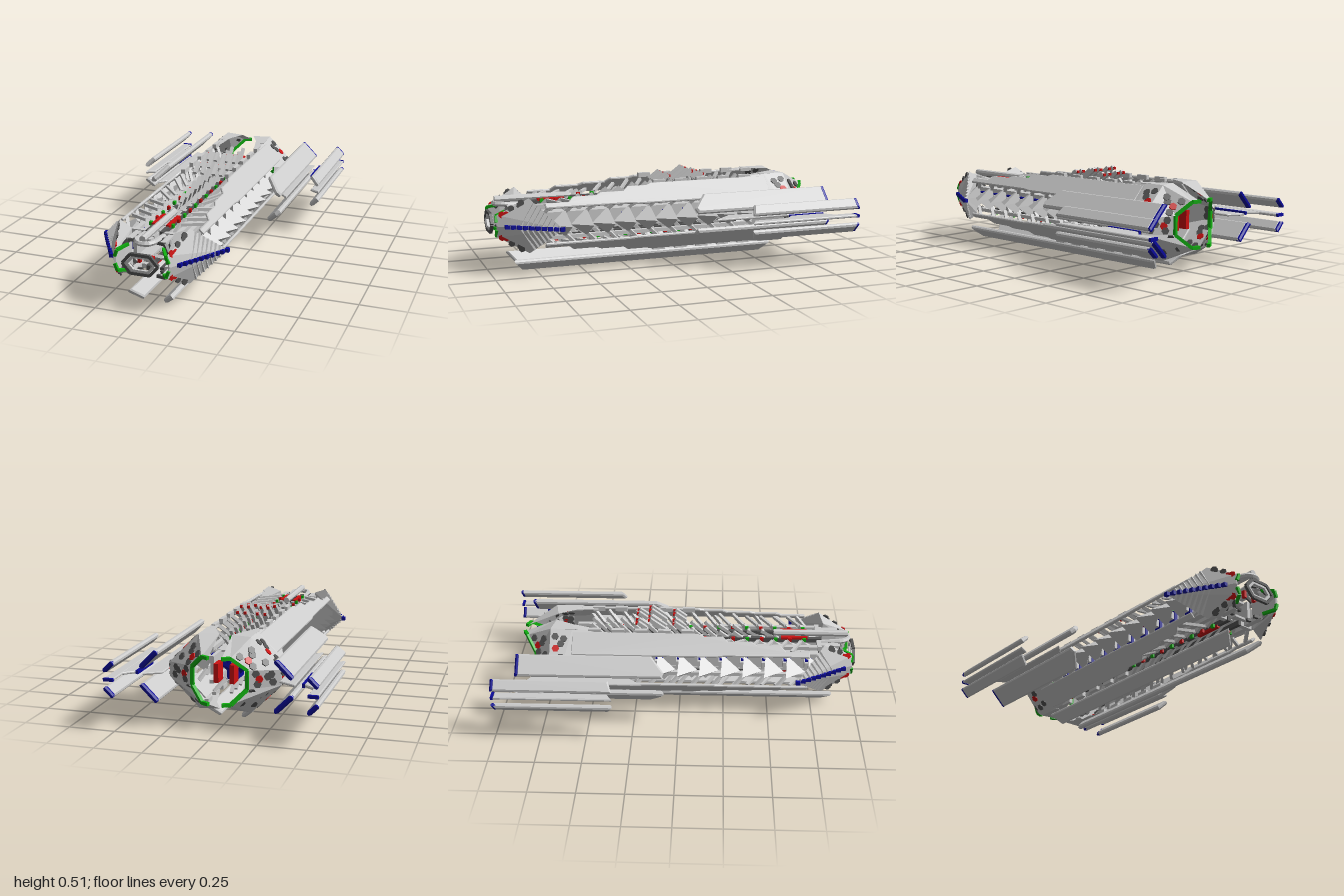
import * as THREE from 'three';
import { ConvexGeometry } from 'three/addons/geometries/ConvexGeometry.js';

const MID = 0.27; // height of the horizontal symmetry plane
const V = (x, y, z) => new THREE.Vector3(x, y, z);
const mat = (color) => new THREE.MeshStandardMaterial({ color, flatShading: true, side: THREE.DoubleSide });
const GREY = mat(0xcccccc), DARK = mat(0x555555), BLUE = mat(0x0b0b99), RED = mat(0xcc1111), GREEN = mat(0x10b010);

export function createModel() {
  const root = new THREE.Group();
  root.name = 'spaceship';
  const add = (name, geo, m = GREY) => {
    const mesh = new THREE.Mesh(geo, m);
    mesh.name = name;
    root.add(mesh);
    return mesh;
  };

  // Square beam between two points
  const bar = (name, a, b, w, m = GREY) => {
    const mesh = add(name, new THREE.BoxGeometry(w, w, a.distanceTo(b)), m);
    mesh.position.copy(a).lerp(b, 0.5);
    mesh.lookAt(b);
  };
  const box = (name, x0, x1, y0, y1, z0, z1, m = GREY) => {
    const g = new THREE.BoxGeometry(Math.abs(x1 - x0), Math.abs(y1 - y0), z1 - z0);
    add(name, g.translate((x0 + x1) / 2, (y0 + y1) / 2, (z0 + z1) / 2), m);
  };
  // Bevelled plate whose edge runs a -> b across the hull; outline points are [share of a-b, z]
  const plank = (name, a, b, t, outline, m = GREY) => {
    const u = b.clone().sub(a), len = u.length(), bev = t * 0.3;
    u.normalize();
    const shape = new THREE.Shape(outline.map(([s, z]) => new THREE.Vector2(s * len, z)));
    const g = new THREE.ExtrudeGeometry(shape, { depth: t - 2 * bev, bevelThickness: bev, bevelSize: bev, bevelOffset: -bev, bevelSegments: 1 });
    g.translate(0, 0, bev - t / 2);
    g.applyMatrix4(new THREE.Matrix4().makeBasis(u, V(0, 0, 1), V(u.y, -u.x, 0)).setPosition(a));
    add(name, g, m);
  };
  // Six-sided armour patch lying on a surface
  const patch = (name, p, n, r, m) => {
    const mesh = add(name, new THREE.CylinderGeometry(r, r, 0.008, 6), m);
    mesh.position.copy(p);
    mesh.quaternion.setFromUnitVectors(V(0, 1, 0), n.normalize());
  };
  const crest = (z) => (z < 0.1 ? 0.19 : z < 0.25 ? 0.175 : z < 0.42 ? 0.155 : 0.125);

  // Stern shell rings: [z inner, z shoulder, z outer, x inner, x shoulder, x outer, top y, side y]
  const rings = [
    [-0.48, -0.48, -0.48, 0.11, 0.14, 0.24, 0.19, 0.085],
    [-0.6, -0.6, -0.65, 0.085, 0.14, 0.3, 0.2, 0.04],
    [-0.7, -0.72, -0.72, 0.035, 0.14, 0.3, 0.2, 0.04],
    [-0.885, -0.865, -0.81, 0.035, 0.075, 0.145, 0.12, 0.05],
  ];

  for (const sx of [-1, 1]) {
    const ringPts = rings.map(([zi, zs, zo, xi, xs, xo, yt, ys]) =>
      [[xi, yt, zi], [xs, yt, zs], [xo, ys, zo], [xo, -ys, zo], [xs, -yt, zs], [xi, -yt, zi]]
        .map(([x, y, z]) => V(sx * x, MID + y, z)));
    const pos = [];
    for (let r = 0; r < 3; r++) for (let i = 0; i < 5; i++) {
      const q = [ringPts[r][i], ringPts[r][i + 1], ringPts[r + 1][i + 1], ringPts[r + 1][i]];
      const order = sx > 0 ? [0, 1, 2, 0, 2, 3] : [0, 2, 1, 0, 3, 2];
      for (const k of order) pos.push(q[k].x, q[k].y, q[k].z);
      // Dark and red armour patches on the sloping faces
      const n = q[1].clone().sub(q[0]).cross(q[3].clone().sub(q[0]));
      const spots = r === 0 ? [] : [[0.25, 0.3], [0.38, 0.4], [0.72, 0.25], [0.5, 0.65], [0.2, 0.75], [0.78, 0.7]];
      if (i % 4) spots.forEach(([u, v], k) => {
        const p = q[0].clone().lerp(q[1], u).lerp(q[3].clone().lerp(q[2], u), v);
        patch('sternPatch', p, n.clone(), 0.021, k === 3 ? RED : DARK);
      });
    }
    const shell = new THREE.BufferGeometry();
    shell.setAttribute('position', new THREE.Float32BufferAttribute(pos, 3));
    shell.computeVertexNormals();
    add('sternShell', shell);
    // Green rim round the stern opening
    const rim = ringPts[3];
    for (let i = 0; i < 5; i++) bar('sternRim', rim[i], rim[i + 1], 0.018, GREEN);
    box('sternRedBlock', sx * 0.03, sx * 0.055, MID - 0.05, MID + 0.05, -0.74, -0.66, RED);

    // Inner hull wall and centre-plane fin
    box('innerWall', sx * 0.1, sx * 0.12, MID - 0.05, MID + 0.05, -0.6, 0.8);
    plank('sideFin', V(sx * 0.31, MID, 0), V(sx * 0.4, MID, 0), 0.012, [[0, -0.8], [1, -0.85], [1, -0.2], [0, -0.3]]);

    // Outrigger web with blue inner edge
    plank('outriggerWeb', V(sx * 0.44, MID, 0), V(sx * 0.505, MID, 0), 0.014, [[0, -0.82], [1, -0.88], [1, -0.57], [0, -0.63]]);
    box('outriggerWebEdge', sx * 0.433, sx * 0.447, MID - 0.01, MID + 0.01, -0.83, -0.62, BLUE);
    plank('outriggerSpine', V(sx * 0.5, MID, 0), V(sx * 0.553, MID, 0), 0.016, [[0, -0.985], [1, -0.985], [1, -0.35], [0, -0.38]]);
    box('outriggerSpineTip', sx * 0.5, sx * 0.553, MID - 0.008, MID + 0.008, -1, -0.985, BLUE);

    // Side teeth with their roots
    for (let i = 0; i <= 10; i++) {
      const z = -0.48 + i * 0.12;
      add('sideTooth', new ConvexGeometry([V(sx * 0.18, MID + 0.075, z), V(sx * 0.18, MID - 0.075, z), V(sx * 0.298, MID, z - 0.01),
        V(sx * 0.225, MID, z + 0.1), V(sx * 0.16, MID, z)]));
      box('toothRoot', sx * 0.115, sx * 0.17, MID - 0.02, MID + 0.02, z - 0.02, z + 0.02);
      box('toothRootCap', sx * 0.132, sx * 0.152, MID - 0.03, MID + 0.03, z - 0.015, z + 0.025, BLUE);
    }

    // Prow cheek: faceted armour with blue leading edge
    const T = V(sx * 0.34, MID, 0.65), M = V(sx * 0.15, MID, 0.97);
    const cheek = [T, M];
    for (const sy of [-1, 1]) cheek.push(V(sx * 0.19, MID + sy * 0.15, 0.8), V(sx * 0.14, MID + sy * 0.06, 0.965),
      V(sx * 0.115, MID + sy * 0.12, 0.82), V(sx * 0.12, MID + sy * 0.06, 0.9), V(sx * 0.17, MID + sy * 0.1, 0.79));
    add('prowCheek', new ConvexGeometry(cheek));
    for (let i = 0; i < 10; i++) {
      const p = T.clone().lerp(M, i / 11);
      box('prowBlueTooth', p.x - 0.01, p.x + 0.01, MID - 0.01, MID + 0.01, p.z - 0.008, p.z + 0.018, BLUE);
    }

    for (const sy of [-1, 1]) {
      const P = (x, y, z = 0) => V(sx * x, MID + sy * y, z);
      // Prow ridges, patches and green mouth rim
      const A = P(0.19, 0.15, 0.8), F = P(0.14, 0.06, 0.965);
      for (let i = 1; i < 9; i++) bar('prowRidge', T.clone().lerp(M, i * 0.08), T.clone().lerp(A, i * 0.105), 0.011);
      const n = M.clone().sub(F).cross(A.clone().sub(F));
      if (n.z < 0) n.negate();
      [[0.2, 0.2, RED], [0.5, 0.1, DARK], [0.5, 0.4, RED], [0.8, 0.05, DARK], [0.9, 0.2, DARK]].forEach(([u, v, m]) =>
        patch('prowPatch', F.clone().lerp(A, u).lerp(M, v), n.clone(), 0.019, m));
      bar('prowRim', P(0.145, 0.02, 0.968), P(0.132, 0.055, 0.968), 0.015, GREEN);
      bar('prowRim', P(0.132, 0.055, 0.968), P(0.095, 0.07, 0.91), 0.015, GREEN);
      // Jaw ribs and beam inside the mouth
      box('jawBeam', sx * 0.075, sx * 0.105, MID + sy * 0.08, MID + sy * 0.1, 0.78, 0.9);
      for (const z of [0.81, 0.87, 0.92]) {
        bar('jawRib', P(0.13, 0.05, z), P(0.1, 0.09, z - 0.02), 0.016, DARK);
        bar('jawRib', P(0.1, 0.09, z - 0.02), P(0.05, 0.09, z - 0.03), 0.016, DARK);
      }
      box('prowCrossBeam', sx * 0.05, sx * 0.13, MID + sy * 0.08, MID + sy * 0.105, 0.77, 0.795);

      // Long sloping hull plate, stepping down towards the prow
      plank('hullPlate', P(0.145, 0.185), P(0.24, 0.09), 0.016, [[0, -0.6], [0, 0.1], [0.1, 0.13], [0.1, 0.24], [0.32, 0.27],
        [0.32, 0.4], [0.45, 0.43], [0.45, 0.56], [0.7, 0.59], [0.7, 0.72], [0.95, 0.72], [0.95, 0.25], [1, 0.2], [1, -0.6]]);
      for (let i = 0; i <= 10; i++) {
        const z = -0.48 + i * 0.12;
        bar('toothStrut', P(0.18, 0.06, z), P(0.21, 0.11, z - 0.05), 0.018);
      }
      // Raised cleats along the plate crest
      for (let i = 0; i < 6; i++) {
        const z = -0.64 + i * 0.13;
        box('crestCleat', sx * 0.12, sx * 0.142, MID + sy * 0.175, MID + sy * 0.2, z, z + 0.07);
      }

      // Rails and decks beside the central slot
      box('slotRail', sx * 0.028, sx * 0.048, MID + sy * 0.085, MID + sy * 0.11, -0.47, 0.8, DARK);
      box('deck', sx * 0.03, sx * 0.125, MID + sy * 0.04, MID + sy * 0.052, -0.47, 0.78);
      box('outerRail', sx * 0.1, sx * 0.125, MID + sy * 0.08, MID + sy * 0.1, -0.6, 0.78);
      // Raked ribs, short spars and signal lamps
      for (let i = 0; i < 15; i++) {
        const z = -0.44 + i * 0.08, h = crest(z);
        bar('slotRib', P(0.036, 0.05, z + 0.06), P(0.036, h - 0.015, z - 0.06), 0.018);
        bar('sideRib', P(0.07, 0.05, z + 0.06), P(0.09, 0.115, z), 0.02);
        bar('slantSpar', P(0.09, 0.115, z), P(0.325 - h, h - 0.015, z - 0.06), 0.016);
        box('lamp', sx * 0.055, sx * 0.068, MID + sy * 0.1, MID + sy * 0.12, z + 0.01, z + 0.03, i % 2 ? RED : GREEN);
      }
      box('redConduit', sx * 0.03, sx * 0.05, MID + sy * 0.105, MID + sy * 0.118, 0.57, 0.72, RED);

      // Engine pods: broad inner blade and slim outer blade, blue at the stern
      plank('innerPod', P(0.31, 0.132), P(0.397, 0.045), 0.03, [[0, -0.88], [1, -0.88], [1, -0.09], [0.75, -0.08], [0, -0.15]]);
      plank('innerPodNozzle', P(0.31, 0.132), P(0.397, 0.045), 0.028, [[0, -0.892], [1, -0.892], [1, -0.865], [0, -0.865]], BLUE);
      plank('outerPod', P(0.503, 0.09), P(0.55, 0.043), 0.028, [[0, -0.988], [1, -0.988], [1, -0.35], [0, -0.37]]);
      plank('outerPodNozzle', P(0.503, 0.09), P(0.55, 0.043), 0.026, [[0, -1], [1, -1], [1, -0.975], [0, -0.975]], BLUE);
    }

    // Keel blades below the hull
    plank('keelBlade', V(sx * 0.058, 0.006, 0), V(sx * 0.12, 0.062, 0), 0.028, [[0, -0.61], [1, -0.65], [1, 0.87], [0, 0.82]]);
    // Raked guns on the back with a red lamp behind each muzzle
    for (const x of [0.035, 0.078]) for (const [z, y, l] of [[0.03, 0.44, 0.045], [-0.08, 0.44, 0.065], [-0.19, 0.45, 0.035]]) {
      const b = V(sx * x, y + l, z - l * 1.35);
      bar('gun', V(sx * x, y, z), b, 0.02);
      box('gunLamp', b.x - 0.007, b.x + 0.007, b.y - 0.014, b.y, b.z - 0.012, b.z, RED);
    }
    box('mouthLamp', sx * 0.027, sx * 0.043, 0.25, 0.29, 0.9, 0.92, RED);
  }

  // Blue reactor core hung at the stern
  const core = new THREE.OctahedronGeometry(1, 0).scale(0.085, 0.075, 0.085);
  add('reactorCore', core, BLUE).position.set(0, MID, -0.55);
  box('reactorStem', -0.03, 0.03, 0.2, 0.34, -0.59, -0.48, BLUE);

  // Hexagonal ring at the prow, dark outside with a pale lining
  const hex = [[0.096, 0], [0.052, 0.05], [-0.052, 0.05], [-0.096, 0], [-0.052, -0.05], [0.052, -0.05]];
  hex.forEach(([x, y], i) => {
    const [x2, y2] = hex[(i + 1) % 6];
    bar('prowRing', V(x, MID + y, 0.983), V(x2, MID + y2, 0.983), 0.016, DARK);
    bar('prowRingLining', V(x * 0.78, MID + y * 0.75, 0.978), V(x2 * 0.78, MID + y2 * 0.75, 0.978), 0.014);
  });

  // Bow loop and long central probe
  const loop = new THREE.CatmullRomCurve3([V(-0.05, 0.36, 0.79), V(-0.05, 0.37, 0.91), V(-0.025, 0.37, 0.95),
    V(0.025, 0.37, 0.95), V(0.05, 0.37, 0.91), V(0.05, 0.36, 0.79)], false, 'catmullrom', 0.2);
  add('bowLoop', new THREE.TubeGeometry(loop, 24, 0.014, 6));
  add('probe', new THREE.CylinderGeometry(0.018, 0.018, 0.42, 8).rotateX(Math.PI / 2).translate(0, 0.392, 0.74));
  return root;
}
